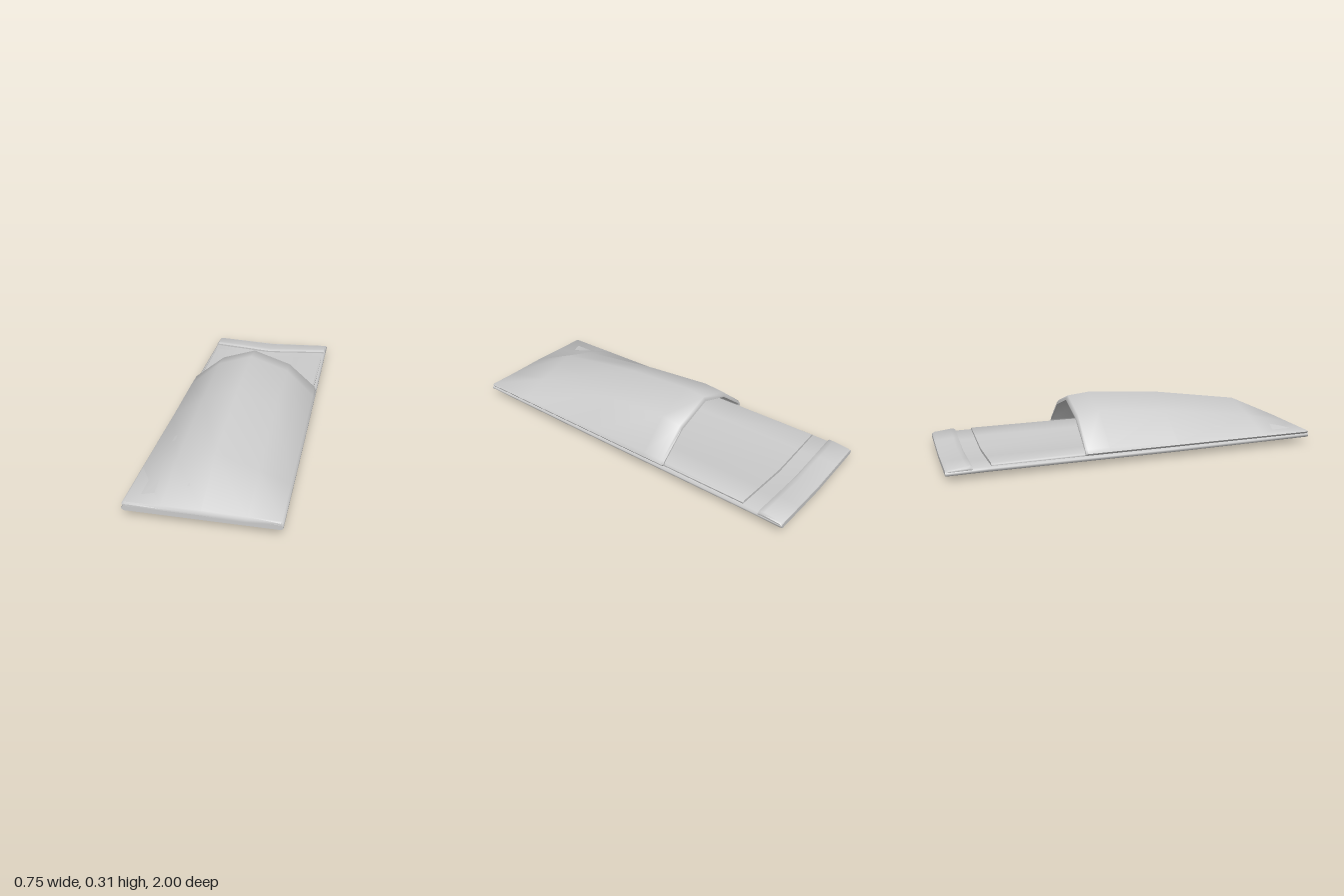
import * as THREE from 'three';
import { toCreasedNormals } from 'three/addons/utils/BufferGeometryUtils.js';

const material = new THREE.MeshStandardMaterial({ color: 0xcccccc, side: THREE.DoubleSide });

// Skins stations { z, top, bottom } running back to front; top and bottom run
// left to right with equal point counts, and both ends are closed with strips.
function loft(name, stations) {
  const n = stations[0].top.length;
  const ring = n * 2;
  const positions = [];
  const index = [];
  for (const { z, top, bottom } of stations) {
    for (const [x, y] of [...top, ...[...bottom].reverse()]) positions.push(x, y, z);
  }
  for (let s = 0; s < stations.length - 1; s++) {
    for (let i = 0; i < ring; i++) {
      const a = s * ring + i;
      const b = s * ring + ((i + 1) % ring);
      index.push(a, a + ring, b + ring, a, b + ring, b);
    }
  }
  const last = (stations.length - 1) * ring;
  for (let i = 0; i < n - 1; i++) {
    const j = ring - 1 - i;
    index.push(i, i + 1, j - 1, i, j - 1, j);
    index.push(last + i, last + j, last + j - 1, last + i, last + j - 1, last + i + 1);
  }
  const geometry = new THREE.BufferGeometry();
  geometry.setAttribute('position', new THREE.Float32BufferAttribute(positions, 3));
  geometry.setIndex(index);
  const mesh = new THREE.Mesh(toCreasedNormals(geometry, 0.95), material);
  mesh.name = name;
  return mesh;
}

// Sagging pad section: edge and centre are top heights, with rounded side rims
function padSection(z, edge, centre, thickness, halfWidth) {
  const w = halfWidth;
  const top = [];
  const bottom = [];
  for (const x of [-w, -w + 0.01, -0.2, 0, 0.2, w - 0.01, w]) {
    const y = edge + (centre - edge) * (1 - Math.abs(x) / w);
    const round = Math.abs(x) === w ? thickness * 0.32 : 0;
    top.push([x, y - round]);
    bottom.push([x, y - thickness + round]);
  }
  return { z, top, bottom };
}

// Arched blanket section: outer skin above, inner skin below
function coverSection(z, crest, leftShoulder, rightShoulder, hem, taper = 0) {
  let top = [
    [-0.365, 0.057], [-0.373, 0.068], [-0.364, hem], [-0.19, leftShoulder], [0, crest],
    [0.21, rightShoulder], [0.364, hem], [0.373, 0.068], [0.365, 0.057],
  ];
  let bottom = [
    [-0.35, 0.057], [-0.35, 0.062], [-0.342, hem - 0.012], [-0.178, leftShoulder - 0.026],
    [0, crest - 0.026], [0.198, rightShoulder - 0.026], [0.342, hem - 0.012],
    [0.35, 0.062], [0.35, 0.057],
  ];
  // Taper both skins toward each other to round off the lip
  const blend = (p, q) => p.map((v, k) => v + (q[k] - v) * taper);
  const outer = top.map((p, i) => blend(p, bottom[i]));
  const inner = bottom.map((p, i) => blend(p, top[i]));
  return { z, top: outer, bottom: inner };
}

export function createModel() {
  const group = new THREE.Group();
  group.name = 'beddingRoll';

  // Base mat, sagging along its middle and flat at the foot
  group.add(loft('baseMat', [
    [-1, 0.052, 0.036, 0.025],
    [-0.8, 0.055, 0.026, 0.026],
    [0.2, 0.055, 0.026, 0.026],
    [0.7, 0.058, 0.045, 0.025],
    [1, 0.06, 0.06, 0.025],
  ].map(([z, edge, centre, t]) => padSection(z, edge, centre, t, 0.372))));

  // Low pillow roll across the head end
  group.add(loft('pillow', [
    [-1, 0.05, 0.034, 0.018],
    [-0.985, 0.058, 0.04, 0.022],
    [-0.9, 0.068, 0.044, 0.032],
    [-0.88, 0.069, 0.044, 0.034],
    [-0.87, 0.063, 0.038, 0.028],
  ].map(([z, edge, centre, t]) => padSection(z, edge, centre, t, 0.37))));

  // Thin mattress lying on the mat
  group.add(loft('mattress', [
    [-0.78, 0.068, 0.042, 0.024],
    [-0.3, 0.07, 0.042, 0.026],
    [0.2, 0.07, 0.042, 0.026],
    [0.7, 0.07, 0.06, 0.024],
  ].map(([z, edge, centre, t]) => padSection(z, edge, centre, t, 0.355))));

  // Hollow blanket, open toward the head and closing flat at the foot
  group.add(loft('blanket', [
    coverSection(-0.307, 0.288, 0.226, 0.218, 0.088, 0.32),
    coverSection(-0.295, 0.295, 0.233, 0.225, 0.09, 0.05),
    coverSection(-0.18, 0.306, 0.243, 0.235, 0.09),
    coverSection(0.2, 0.281, 0.212, 0.204, 0.083),
    coverSection(0.71, 0.206, 0.146, 0.138, 0.079),
    coverSection(0.99, 0.081, 0.078, 0.077, 0.076),
    coverSection(1, 0.074, 0.073, 0.073, 0.072, 0.2),
  ]));

  return group;
}
